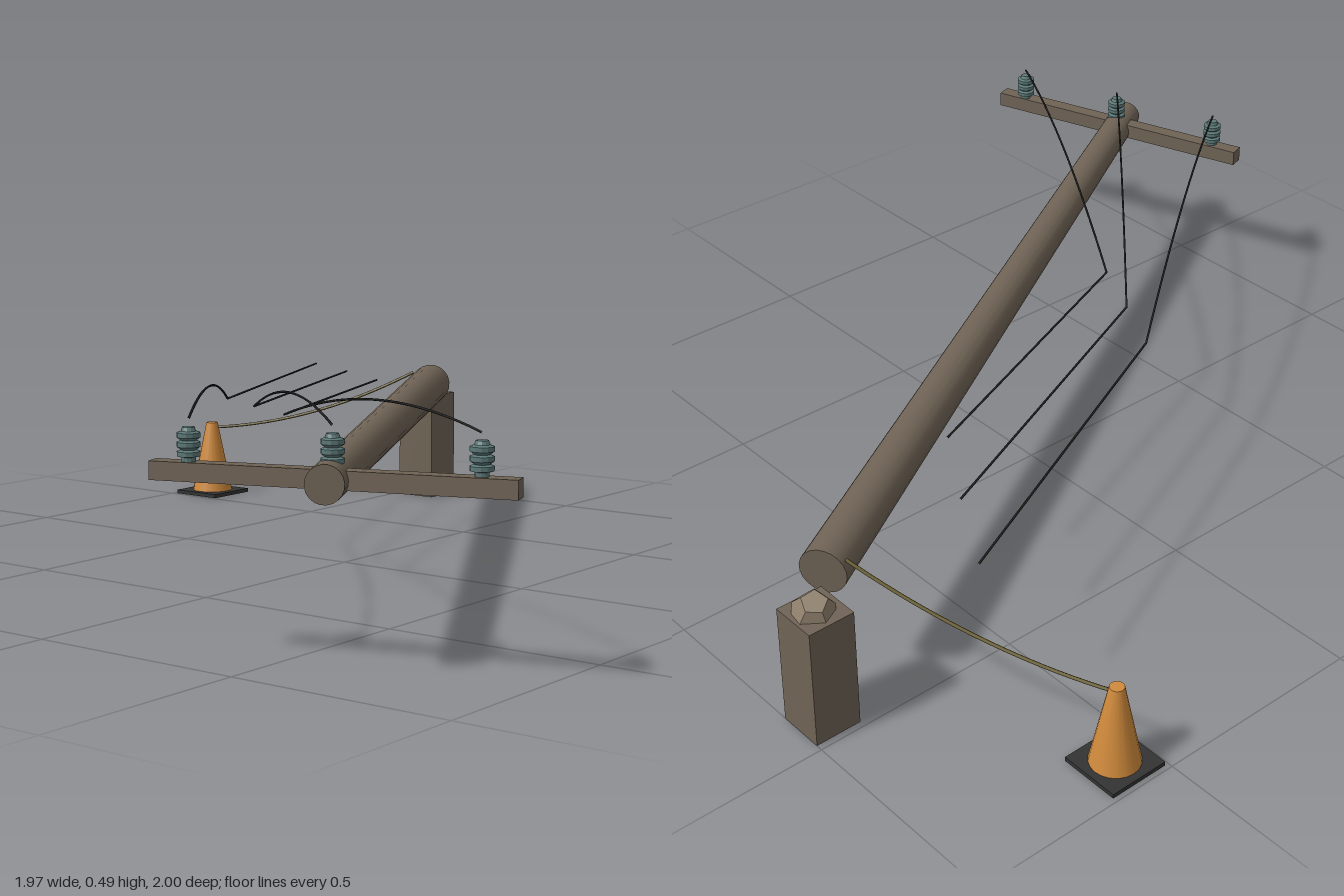
import * as THREE from 'three';

const material = (color, extra = {}) => new THREE.MeshStandardMaterial({ color, ...extra });
const V = (x, y, z) => new THREE.Vector3(x, y, z);

export function createModel() {
  const model = new THREE.Group();
  const wood = material(0x6f6355);
  const splinter = material(0x8f806c, { flatShading: true });
  const glass = material(0x5c7878);
  const orange = material(0xd08a3c);
  const rubber = material(0x333333);
  const ropeMat = material(0x6b6030);
  const wireMat = material(0x222222);

  const add = (name, geometry, mat, x = 0, y = 0, z = 0) => {
    const mesh = new THREE.Mesh(geometry, mat);
    mesh.name = name;
    mesh.position.set(x, y, z);
    model.add(mesh);
    return mesh;
  };

  // Fallen tapered pole, lying between the stump and the crossarm
  const butt = V(-0.375, 0.322, -0.883);
  const tip = V(0.667, 0.371, 0.93);
  const axis = tip.clone().sub(butt);
  const pole = add('pole', new THREE.CylinderGeometry(0.038, 0.053, axis.length(), 20), wood);
  pole.position.copy(butt).lerp(tip, 0.5);
  pole.quaternion.setFromUnitVectors(V(0, 1, 0), axis.normalize());

  // Stump with a broken, faceted top
  add('stump', new THREE.BoxGeometry(0.11, 0.288, 0.11), wood, -0.43, 0.144, -0.945);
  const broken = add('brokenTop', new THREE.DodecahedronGeometry(0.047), splinter, -0.43, 0.289, -0.949);
  broken.rotation.set(0.3, 0.4, 0.2);

  // Crossarm
  const arm = add('crossarm', new THREE.BoxGeometry(0.725, 0.037, 0.037), wood, 0.632, 0.371, 0.864);
  arm.rotation.y = Math.atan2(0.23, 0.69);

  // Ribbed insulators
  const ribs = [[0, 0], [0.014, 0], [0.014, 0.01]];
  for (let i = 0; i < 3; i++) {
    const y = 0.012 + i * 0.018;
    ribs.push([0.023, y], [0.023, y + 0.009], [0.015, y + 0.012]);
  }
  ribs.push([0.012, 0.068], [0, 0.068]);
  const insulator = new THREE.LatheGeometry(ribs.map(([r, y]) => new THREE.Vector2(r, y)), 12);
  insulator.deleteAttribute('normal');
  const insulatorGeo = insulator.toNonIndexed();
  insulatorGeo.computeVertexNormals();

  // Wires: an arched span from each insulator, then a straight loose end
  const wires = [
    [[0.36, 0.955], [-0.25, 0.13], [-0.62, -0.68]],
    [[0.632, 0.86], [-0.105, 0.205], [-0.43, -0.57]],
    [[0.905, 0.77], [0.045, 0.28], [-0.24, -0.45]],
  ];
  for (const [[x0, z0], [x1, z1], [x2, z2]] of wires) {
    add('insulator', insulatorGeo, glass, x0, 0.388, z0);
    const kink = V(x1, 0.386, z1);
    const arch = new THREE.QuadraticBezierCurve3(
      V(x0, 0.47, z0), V((x0 + x1) / 2, 0.522, (z0 + z1) / 2), kink);
    add('wireSpan', new THREE.TubeGeometry(arch, 20, 0.0025, 6), wireMat);
    const loose = new THREE.LineCurve3(kink, V(x2, 0.38, z2));
    add('wireEnd', new THREE.TubeGeometry(loose, 1, 0.0025, 6), wireMat);
  }

  // Traffic cone
  add('coneBase', new THREE.BoxGeometry(0.142, 0.01, 0.142), rubber, -0.918, 0.005, -0.58);
  add('cone', new THREE.CylinderGeometry(0.016, 0.055, 0.192, 20), orange, -0.918, 0.106, -0.58);

  // Sagging rope from the cone to the pole butt
  const rope = new THREE.QuadraticBezierCurve3(
    V(-0.915, 0.188, -0.582), V(-0.66, 0.205, -0.716), V(-0.41, 0.355, -0.85));
  add('rope', new THREE.TubeGeometry(rope, 20, 0.004, 6), ropeMat);

  return model;
}
